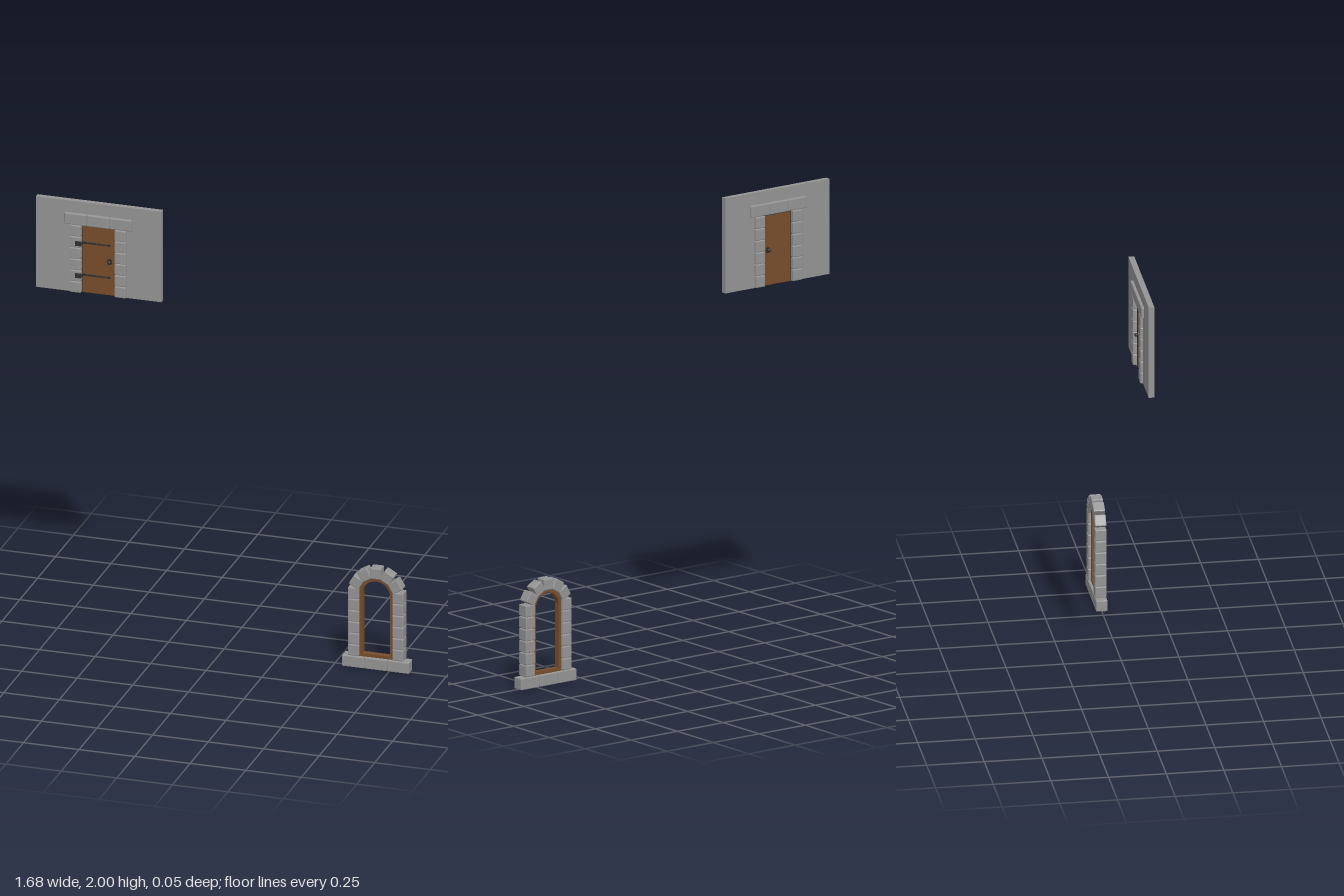
import * as THREE from 'three';
import { RoundedBoxGeometry } from 'three/addons/geometries/RoundedBoxGeometry.js';

const stoneMat = new THREE.MeshStandardMaterial({ color: 0x949494, flatShading: true });
const woodMat = new THREE.MeshStandardMaterial({ color: 0x774d2b });
const ironMat = new THREE.MeshStandardMaterial({ color: 0x303030 });
const DEPTH = 0.05;

function add(parent, name, geometry, material, x = 0, y = 0, z = 0) {
  const mesh = new THREE.Mesh(geometry, material);
  mesh.name = name;
  mesh.position.set(x, y, z);
  parent.add(mesh);
  return mesh;
}

// One chamfered masonry block
function stone(parent, name, w, h, x, y, angle = 0) {
  const mesh = add(parent, name, new RoundedBoxGeometry(w, h, DEPTH, 1, 0.004), stoneMat, x, y);
  mesh.rotation.z = angle;
}

// Two mirrored columns of blocks
function jambs(parent, inner, y0, y1, count) {
  const h = (y1 - y0) / count;
  for (const side of [-1, 1])
    for (let i = 0; i < count; i++)
      stone(parent, 'jambStone', 0.05, h - 0.001, side * (inner + 0.025), y0 + h * (i + 0.5));
}

// Row of three long blocks
function course(parent, name, y) {
  for (let i = -1; i <= 1; i++) stone(parent, name, 0.1, 0.052, i * 0.101, y);
}

// Slab extruded symmetrically about z = 0
function slab(shape, depth) {
  return new THREE.ExtrudeGeometry(shape, { depth, bevelEnabled: false, curveSegments: 20 })
    .translate(0, 0, -depth / 2);
}

function hinge(parent, y) {
  const group = new THREE.Group();
  group.name = 'hinge';
  group.position.y = y;
  parent.add(group);
  add(group, 'hingePlate', new THREE.BoxGeometry(0.026, 0.022, 0.002), ironMat, -0.088, 0, 0.0255);
  add(group, 'hingePin', new THREE.BoxGeometry(0.006, 0.012, 0.02), ironMat, -0.073, 0, 0.0155);
  // Strap tapering to a point, with rivets
  const strap = new THREE.Shape([[-0.074, -0.005], [0.04, -0.0025], [0.047, -0.006], [0.056, 0],
    [0.047, 0.006], [0.04, 0.0025], [-0.074, 0.005]].map(p => new THREE.Vector2(...p)));
  add(group, 'hingeStrap', slab(strap, 0.003), ironMat, 0, 0, 0.0075);
  for (const x of [-0.05, -0.01, 0.025])
    add(group, 'rivet', new THREE.SphereGeometry(0.004, 8, 6), ironMat, x, 0, 0.009);
}

function doorway() {
  const group = new THREE.Group();
  group.name = 'doorway';
  group.position.set(-0.5615, 1.58, 0);

  // Wall slab with an opening cut up from the ground
  const wall = new THREE.Shape([[-0.2815, 0], [-0.078, 0], [-0.078, 0.316], [0.078, 0.316],
    [0.078, 0], [0.2835, 0], [0.2835, 0.42], [-0.2815, 0.42]].map(p => new THREE.Vector2(...p)));
  add(group, 'wall', slab(wall, 0.025), stoneMat);

  jambs(group, 0.076, 0, 0.313, 6);
  course(group, 'lintelStone', 0.34);
  add(group, 'door', new THREE.BoxGeometry(0.15, 0.308, 0.012), woodMat, 0.001, 0.154, 0);

  // Dark casing filling the joint around the door
  add(group, 'casingHead', new THREE.BoxGeometry(0.156, 0.008, 0.014), ironMat, 0, 0.312, 0);
  for (const side of [-1, 1])
    add(group, 'casingSide', new THREE.BoxGeometry(0.005, 0.312, 0.014), ironMat, side * 0.0755, 0.156, 0);

  for (const y of [0.081, 0.23]) hinge(group, y);

  // Knob and backing disc on both faces
  for (const side of [-1, 1]) {
    const disc = new THREE.CylinderGeometry(0.011, 0.011, 0.003, 16).rotateX(Math.PI / 2);
    disc.scale(1, 1.3, 1);
    add(group, 'knobPlate', disc, ironMat, 0.049, 0.155, side * 0.007);
    add(group, 'knob', new THREE.SphereGeometry(0.008, 14, 10), ironMat, 0.049, 0.155, side * 0.015);
  }
  return group;
}

// Round-headed outline
function archPath(path, half, bottom, spring) {
  path.moveTo(-half, bottom);
  path.lineTo(half, bottom);
  path.lineTo(half, spring);
  path.absarc(0, spring, half, 0, Math.PI, false);
  path.lineTo(-half, bottom);
  return path;
}

function archedWindow() {
  const group = new THREE.Group();
  group.name = 'archedWindow';
  group.position.x = 0.689;

  course(group, 'sillStone', 0.026);
  jambs(group, 0.075, 0.053, 0.37, 6);

  // Five blocks set around the arch
  const spring = 0.345, radius = 0.101;
  for (let i = -2; i <= 2; i++) {
    const a = i * Math.PI / 6;
    stone(group, 'archStone', 0.05, 0.05,
      -Math.sin(a) * radius, spring + Math.cos(a) * radius, a);
  }

  // Wooden frame lining the opening
  const frame = archPath(new THREE.Shape(), 0.077, 0.052, spring);
  frame.holes.push(archPath(new THREE.Path(), 0.062, 0.066, spring));
  add(group, 'windowFrame', slab(frame, 0.026), woodMat);
  return group;
}

export function createModel() {
  const model = new THREE.Group();
  model.name = 'doorAndWindow';
  model.add(doorway(), archedWindow());
  return model;
}
